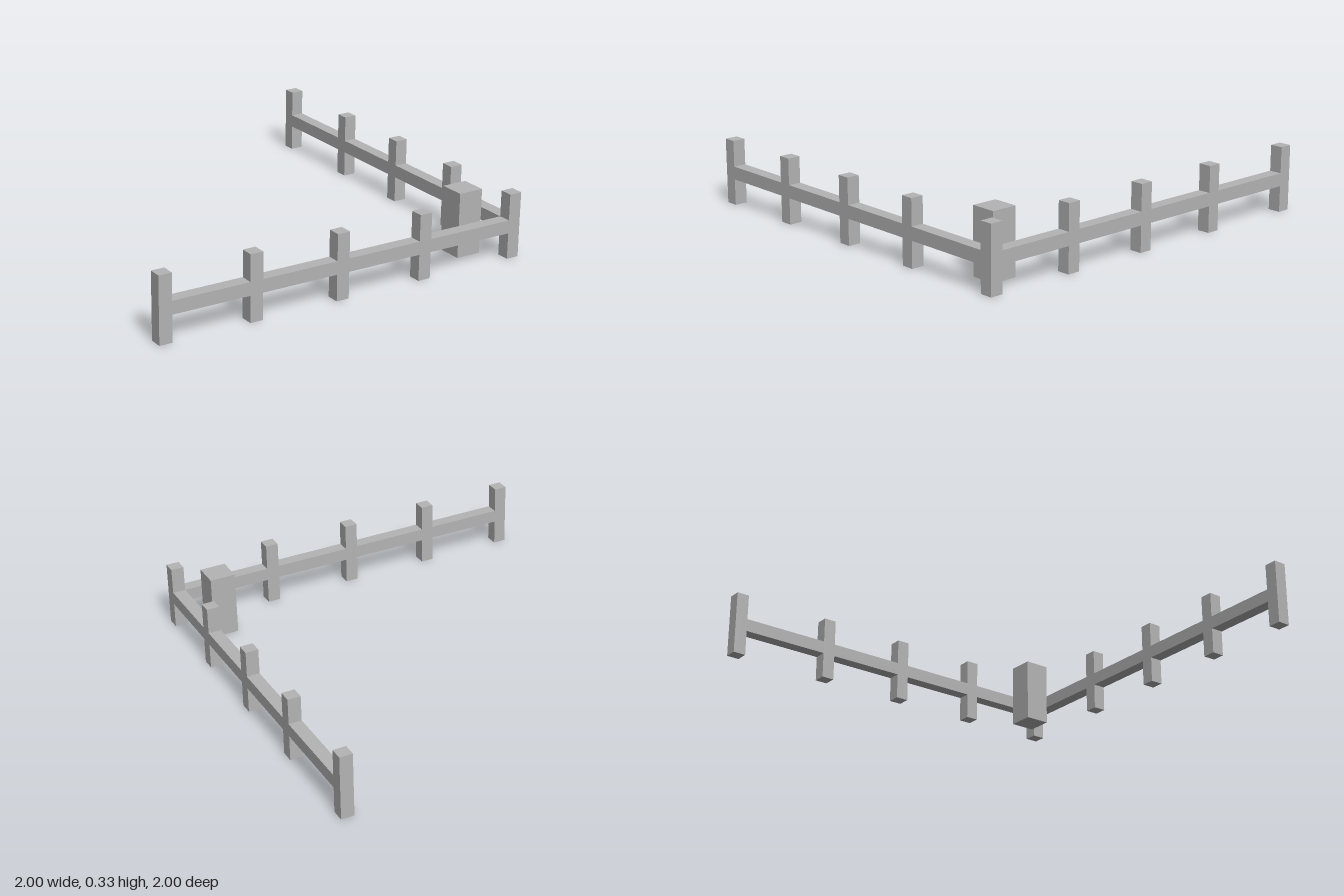
import * as THREE from 'three';

const T = 1 / 15;        // post and rail thickness
const H = 1 / 3;         // post height
const EDGE = 1 - T / 2;  // centre line of each fence run

export function createModel() {
  const model = new THREE.Group();
  model.name = 'cornerFence';
  const grey = new THREE.MeshStandardMaterial({ color: 0xb4b4b4 });
  grey.name = 'plain grey';

  const addBox = (name, w, h, d, x, y, z) => {
    const mesh = new THREE.Mesh(new THREE.BoxGeometry(w, h, d), grey);
    mesh.name = name;
    mesh.position.set(x, y, z);
    model.add(mesh);
  };

  // Corner post shared by both runs
  addBox('cornerPost', T, H, T, EDGE, H / 2, EDGE);

  // Front run along x, side run along z
  for (const x of [-EDGE, -0.5, -0.033, 0.433]) addBox('frontPost', T, H, T, x, H / 2, EDGE);
  for (const z of [-EDGE, -0.437, 0.033, 0.5]) addBox('sidePost', T, H, T, EDGE, H / 2, z);

  // Rails spanning between the end posts
  const span = 2 - 2 * T;
  addBox('frontRail', span, T, T, 0, H / 2, EDGE);
  addBox('sideRail', T, T, span, EDGE, H / 2, 0);

  // Thick block standing inside the corner
  addBox('innerPillar', 2 * T, H, 2 * T, 0.8, H / 2, 0.8);

  return model;
}
